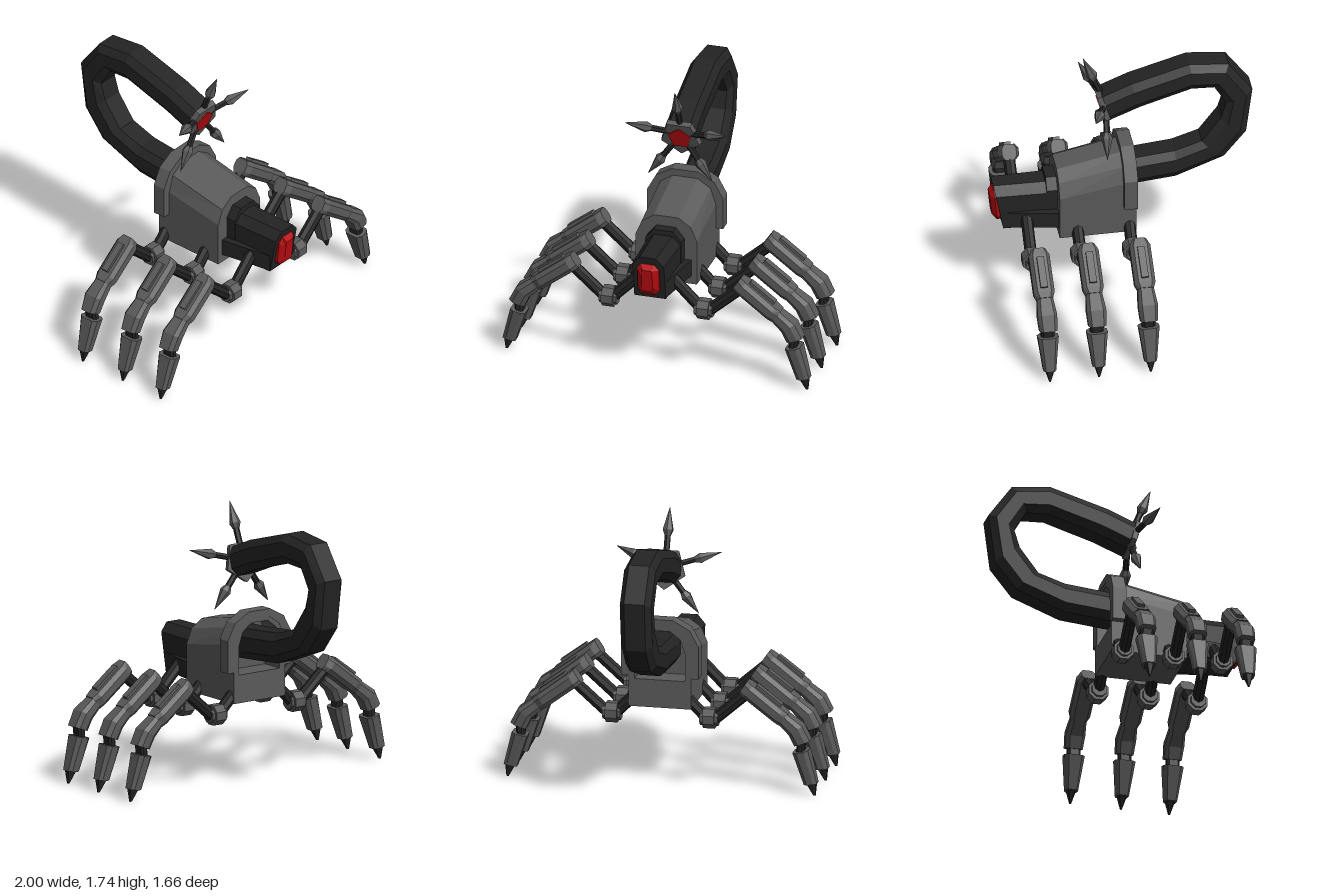
import * as THREE from 'three';

const grey = new THREE.MeshStandardMaterial({ color: 0x5a5a5a });
grey.name = 'armour grey';
const black = new THREE.MeshStandardMaterial({ color: 0x242424 });
black.name = 'joint black';
const red = new THREE.MeshStandardMaterial({ color: 0xb80c10 });
red.name = 'eye red';

// Faceted mesh: every triangle keeps its own normal
function part(name, geometry, material, parent) {
  const g = geometry.index ? geometry.toNonIndexed() : geometry;
  g.computeVertexNormals();
  const mesh = new THREE.Mesh(g, material);
  mesh.name = name;
  parent.add(mesh);
  return mesh;
}

// Joins rings of [x, y, z] points and closes both ends
function loft(rings) {
  const n = rings[0].length;
  const tris = [];
  for (let r = 0; r + 1 < rings.length; r++) {
    for (let i = 0; i < n; i++) {
      const j = (i + 1) % n, a = rings[r], b = rings[r + 1];
      tris.push([a[i], a[j], b[j]], [a[i], b[j], b[i]]);
    }
  }
  const cap = (ring, flip) => {
    const c = [0, 1, 2].map((k) => ring.reduce((s, p) => s + p[k], 0) / n);
    ring.forEach((p, i) => {
      const q = ring[(i + 1) % n];
      tris.push(flip ? [c, q, p] : [c, p, q]);
    });
  };
  cap(rings[0], true);
  cap(rings[rings.length - 1], false);
  // Turn all corners outward if the enclosed volume comes out negative
  const v = (p) => new THREE.Vector3(...p);
  const volume = tris.reduce((s, [a, b, c]) => s + v(a).dot(v(b).cross(v(c))), 0);
  if (volume < 0) tris.forEach((t) => t.reverse());
  const g = new THREE.BufferGeometry();
  g.setAttribute('position', new THREE.Float32BufferAttribute(tris.flat(2), 3));
  return g;
}

// Chamfered bar through stations [outerX, outerY, innerX, innerY, halfWidth]
function bar(stations) {
  const section = [[0, -0.65], [0.26, -1], [0.74, -1], [1, -0.65], [1, 0.65], [0.74, 1], [0.26, 1], [0, 0.65]];
  return loft(stations.map(([ox, oy, ix, iy, h]) =>
    section.map(([t, w]) => [ox + (ix - ox) * t, oy + (iy - oy) * t, w * h])));
}

// Mirrors a half profile; z is a number or a rule of y
function profile(half, z) {
  const full = [...half, ...half.map(([x, y]) => [-x, y]).reverse()];
  return full.map(([x, y]) => [x, y, typeof z === 'function' ? z(y) : z]);
}

// Round rod between two points
function rod(name, a, b, r, sides, material, parent) {
  const p = new THREE.Vector3(...a), q = new THREE.Vector3(...b);
  const m = part(name, new THREE.CylinderGeometry(r, r, p.distanceTo(q), sides), material, parent);
  m.position.copy(p).lerp(q, 0.5);
  m.quaternion.setFromUnitVectors(new THREE.Vector3(0, 1, 0), q.sub(p).normalize());
}

function makeLeg() {
  const leg = new THREE.Group();
  rod('hipRod', [0.1, 0.65, 0], [0.3, 0.45, 0], 0.038, 8, black, leg);
  rod('thighRod', [0.31, 0.43, 0], [0.56, 0.65, 0], 0.038, 8, black, leg);
  // Stepped octagonal elbow
  for (const [r, length] of [[0.068, 0.075], [0.05, 0.115]]) {
    const g = new THREE.CylinderGeometry(r, r, length, 8).rotateY(Math.PI / 8).rotateZ(Math.PI / 2);
    part('elbow', g, grey, leg).position.set(0.31, 0.463, 0);
  }
  part('upperArmour', bar([
    [0.556, 0.725, 0.5, 0.645, 0.045], [0.59, 0.7, 0.53, 0.62, 0.066],
    [0.78, 0.553, 0.725, 0.473, 0.066], [0.815, 0.528, 0.757, 0.45, 0.05],
  ]), grey, leg);
  const plate = part('armourRidge', new THREE.BoxGeometry(0.2, 0.03, 0.045), grey, leg);
  plate.position.set(0.687, 0.63, 0);
  plate.rotation.z = -0.642;
  part('knee', bar([
    [0.8, 0.53, 0.75, 0.46, 0.05], [0.905, 0.455, 0.82, 0.395, 0.062], [0.953, 0.36, 0.855, 0.322, 0.055],
  ]), grey, leg);
  part('ankle', bar([[0.925, 0.37, 0.87, 0.35, 0.042], [0.915, 0.28, 0.865, 0.27, 0.042]]), black, leg);
  part('shin', bar([[0.943, 0.3, 0.845, 0.28, 0.066], [0.998, 0.083, 0.915, 0.07, 0.04]]), grey, leg);
  part('claw', bar([[0.99, 0.085, 0.93, 0.075, 0.03], [0.985, 0, 0.97, 0, 0.006]]), black, leg);
  return leg;
}

export function createModel() {
  const model = new THREE.Group();
  model.name = 'scorpionRobot';

  // Body shell with a recess at the back for the tail
  part('body', loft([
    profile([[0.2, 0.52], [0.2, 0.815], [0.16, 0.91], [0.08, 0.965]], 0.415),
    profile([[0.2, 0.52], [0.2, 0.9], [0.165, 1.01], [0.08, 1.065]], -0.07),
    profile([[0.16, 0.7], [0.16, 0.88], [0.13, 0.97], [0.065, 1.02]], -0.07),
    profile([[0.16, 0.7], [0.16, 0.88], [0.13, 0.97], [0.065, 1.02]], 0.08),
  ]), grey, model);

  // Raised arch over the back of the body
  const outer = profile([[0.247, 0.72], [0.247, 0.93], [0.19, 1.035], [0.085, 1.093]], 0);
  const inner = profile([[0.19, 0.72], [0.19, 0.89], [0.155, 0.99], [0.075, 1.045]], 0).reverse();
  const arch = new THREE.Shape([...outer, ...inner].map(([x, y]) => new THREE.Vector2(x, y)));
  part('backArch', new THREE.ExtrudeGeometry(arch, { depth: 0.085, bevelEnabled: false }), grey, model)
    .position.z = -0.072;

  // Head with slanted face, neck collar and side skirts
  const face = (y) => 0.755 + (y - 0.57) * 0.19;
  part('head', loft([
    profile([[0.115, 0.567], [0.115, 0.81], [0.06, 0.865]], 0.4),
    profile([[0.102, 0.567], [0.102, 0.81], [0.052, 0.865]], face),
  ]), black, model);
  const collar = [[0.118, 0.57], [0.118, 0.83], [0.063, 0.898]];
  part('neckCollar', loft([profile(collar, 0.41), profile(collar, 0.482)]), black, model);
  for (const s of [1, -1]) {
    const skirt = (x, z) => [[s * 0.05, 0.57, z], [s * x, 0.575, z], [s * x, 0.685, z], [s * 0.05, 0.69, z]];
    part('headSkirt', loft([skirt(0.165, 0.41), skirt(0.104, 0.755)]), black, model);
  }

  // Faceted eye
  const eyeRing = (w, e, lo, hi, dz) => profile(
    [[e, lo], [w, lo + 0.035], [w, hi - 0.035], [e, hi]], (y) => 0.76 + (y - 0.57) * 0.1 + dz);
  part('eye', loft([
    eyeRing(0.07, 0.042, 0.6, 0.818, -0.03), eyeRing(0.07, 0.042, 0.6, 0.818, 0.022),
    eyeRing(0.035, 0.03, 0.635, 0.785, 0.05),
  ]), red, model);

  // Six legs
  for (const [z, label] of [[0.61, 'front'], [0.3, 'middle'], [-0.027, 'rear']]) {
    for (const s of [1, -1]) {
      const leg = makeLeg();
      leg.name = label + (s > 0 ? 'LeftLeg' : 'RightLeg');
      leg.position.z = z;
      if (s < 0) leg.rotation.y = Math.PI;
      model.add(leg);
    }
  }

  // Curled tail, drawn in profile then turned to run along z
  const w = 0.1;
  part('tail', bar([
    [0.09, 0.775, 0.09, 0.97, w], [-0.07, 0.787, -0.07, 0.98, w], [-0.34, 0.812, -0.335, 1.005, w],
    [-0.645, 0.93, -0.505, 1.06, w], [-0.785, 1.105, -0.625, 1.22, w], [-0.825, 1.42, -0.66, 1.335, w],
    [-0.675, 1.63, -0.585, 1.463, w], [-0.43, 1.658, -0.44, 1.47, w],
    [-0.06, 1.55, -0.12, 1.372, w], [0.12, 1.475, 0.07, 1.295, w],
  ]), black, model).rotation.y = -Math.PI / 2;

  // Five-sided tail head with a red lens
  const tailHead = new THREE.Group();
  tailHead.name = 'tailHead';
  tailHead.position.set(0, 1.38, 0.1);
  tailHead.rotation.x = 0.3;
  model.add(tailHead);
  const disc = (r0, r1, h, turn) =>
    new THREE.CylinderGeometry(r0, r1, h, 5).rotateY(turn).rotateX(Math.PI / 2);
  part('tailRim', disc(0.13, 0.138, 0.035, 0), grey, tailHead).position.z = 0.01;
  part('tailLens', disc(0.078, 0.078, 0.008, Math.PI), red, tailHead).position.z = 0.03;

  // Spikes around the tail head
  const tips = [[0, 1.74, 0.235], [0.337, 1.472, 0.21], [-0.337, 1.472, 0.21], [0.212, 1.09, 0.115], [-0.212, 1.09, 0.115]];
  for (const tip of tips) {
    const base = new THREE.Vector3(0, 1.385, 0.09);
    const end = new THREE.Vector3(...tip);
    const length = base.distanceTo(end);
    rod('spikeRod', base.toArray(), base.clone().lerp(end, 0.62).toArray(), 0.02, 6, black, model);
    const outline = [[0, 0.52], [0.022, 0.53], [0.036, 0.62], [0, 1]].map(([r, t]) => new THREE.Vector2(r, t * length));
    const spike = part('spike', new THREE.LatheGeometry(outline, 6), grey, model);
    spike.position.copy(base);
    spike.quaternion.setFromUnitVectors(new THREE.Vector3(0, 1, 0), end.sub(base).normalize());
  }
  return model;
}
